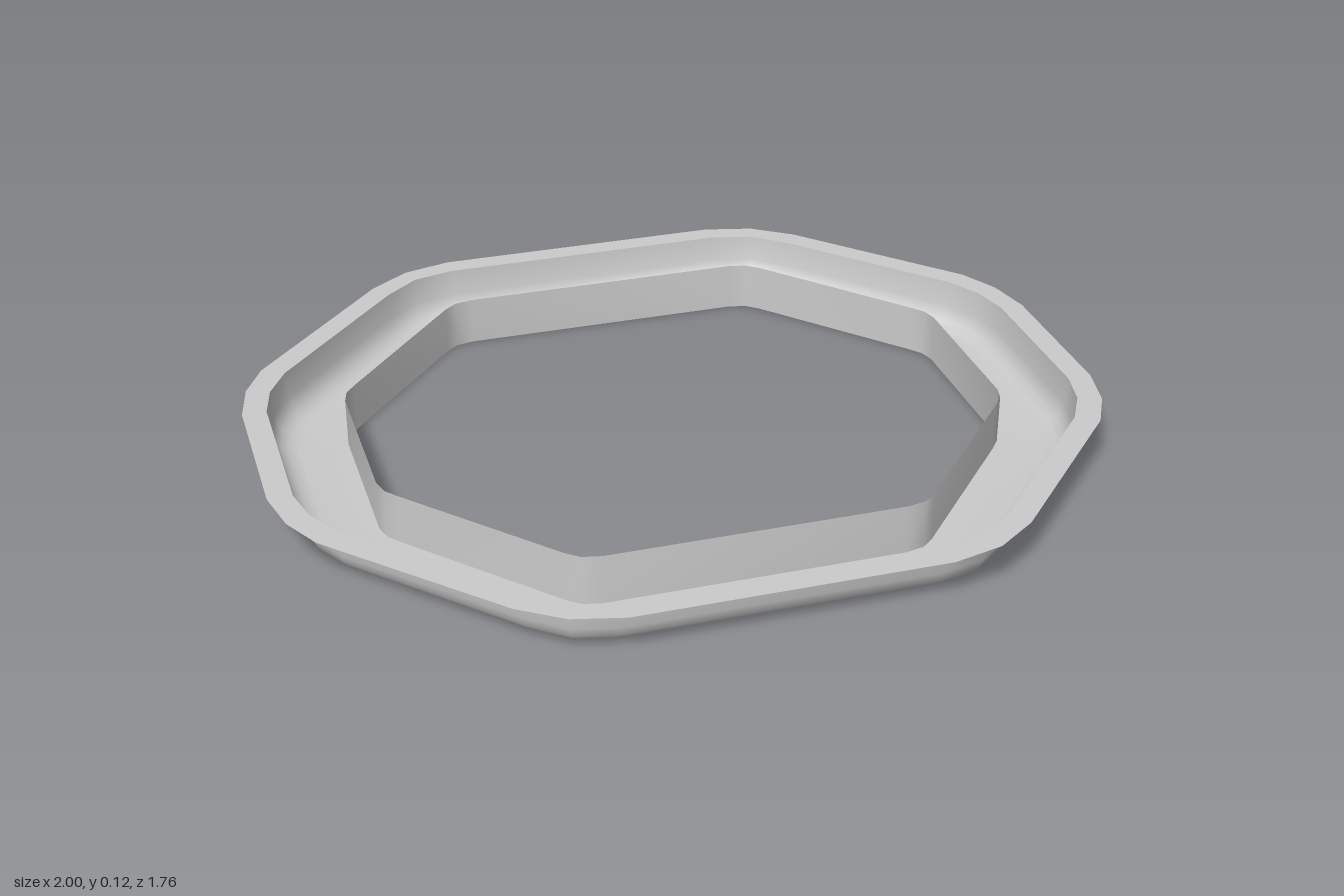
import * as THREE from 'three';
import { toCreasedNormals } from 'three/addons/utils/BufferGeometryUtils.js';

// One quarter of each octagon outline with eased corners, as [x, z]
const FLANGE = [[1, 0.2], [0.975, 0.315], [0.925, 0.41], [0.58, 0.78], [0.48, 0.85], [0.36, 0.88]];
const RIM = [[0.942, 0.2], [0.92, 0.295], [0.872, 0.38], [0.55, 0.73], [0.465, 0.8], [0.36, 0.825]];
const HOLE = [[0.755, 0.2], [0.745, 0.238], [0.72, 0.27], [0.425, 0.605], [0.395, 0.63], [0.35, 0.64]];

// Mirror a quarter outline into a closed loop
function fullLoop(quarter) {
  const back = [...quarter].reverse();
  return [
    ...quarter,
    ...back.map(([x, z]) => [-x, z]),
    ...quarter.map(([x, z]) => [-x, -z]),
    ...back.map(([x, z]) => [x, -z]),
  ];
}

// Loop between two outlines at a given height
function ring(a, b, t, y) {
  return fullLoop(a.map(([x, z], i) => [x + (b[i][0] - x) * t, z + (b[i][1] - z) * t]))
    .map(([x, z]) => [x, y, z]);
}

// Skin a list of loops into a thin sheet
function skin(name, rings) {
  const n = rings[0].length;
  const index = [];
  for (let r = 0; r < rings.length - 1; r++) {
    for (let i = 0; i < n; i++) {
      const j = (i + 1) % n;
      const a = r * n + i, b = r * n + j, c = a + n, d = b + n;
      index.push(a, c, b, b, c, d);
    }
  }
  const geometry = new THREE.BufferGeometry();
  geometry.setAttribute('position', new THREE.Float32BufferAttribute(rings.flat(2), 3));
  geometry.setIndex(index);
  const material = new THREE.MeshStandardMaterial({ color: 0xcccccc, side: THREE.DoubleSide });
  const mesh = new THREE.Mesh(toCreasedNormals(geometry, 0.6), material);
  mesh.name = name;
  return mesh;
}

export function createModel() {
  const group = new THREE.Group();
  group.name = 'octagonalChannelRing';
  const top = 0.12;

  // Flat lip around the top
  group.add(skin('flange', [ring(FLANGE, RIM, 0, top), ring(FLANGE, RIM, 1, top)]));

  // Outer wall curving under into the flat floor
  const profile = [[0, top], [0.03, 0.055], [0.07, 0.034], [0.13, 0.018], [0.23, 0.006], [0.37, 0], [1, 0]];
  group.add(skin('outerWallAndFloor', profile.map(([t, y]) => ring(RIM, HOLE, t, y))));

  // Upright wall around the opening
  group.add(skin('innerWall', [ring(HOLE, HOLE, 0, 0), ring(HOLE, HOLE, 0, top)]));

  return group;
}
